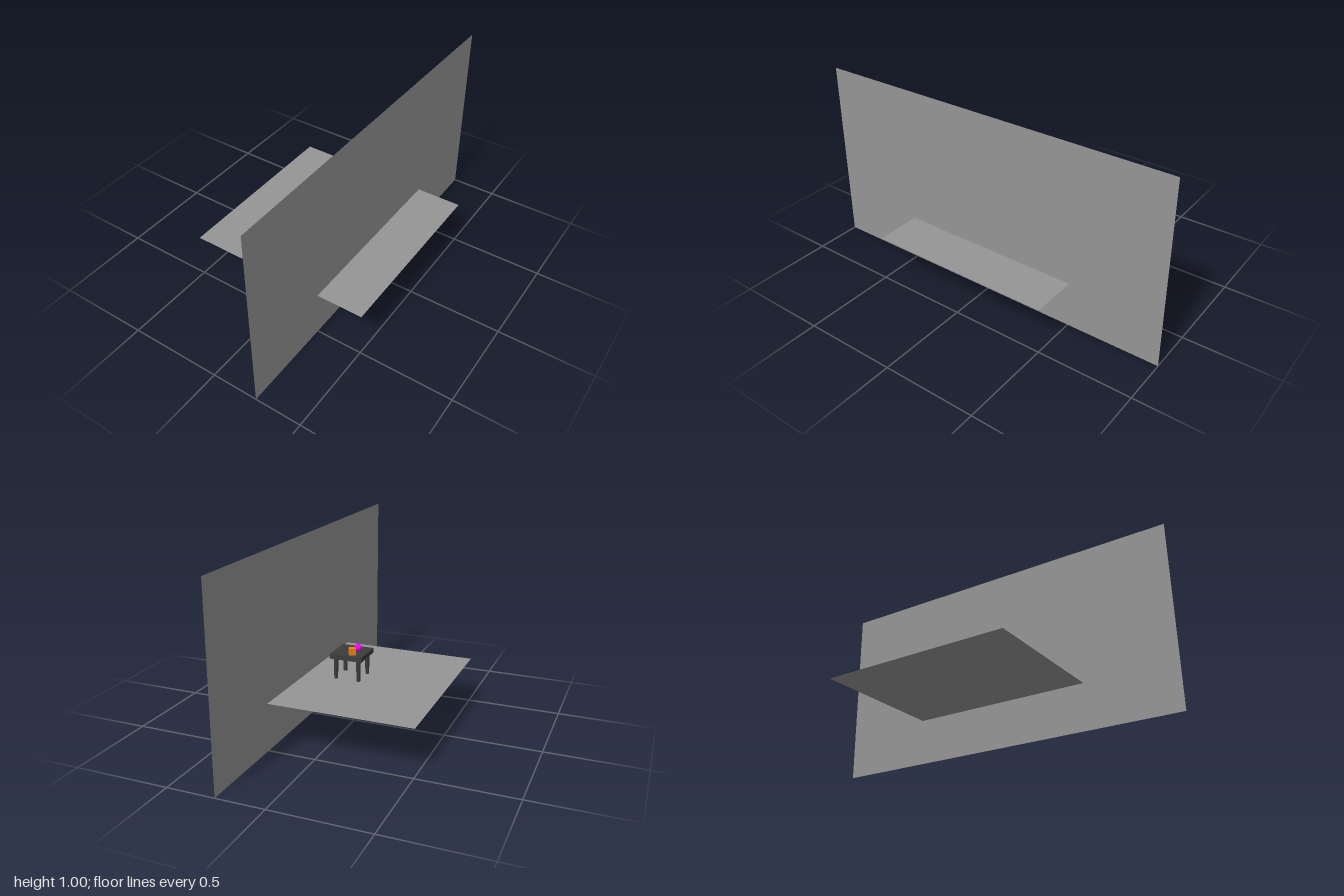
import * as THREE from 'three';

const mat = (color, extra = {}) => new THREE.MeshStandardMaterial({ color, ...extra });

function addMesh(parent, name, geometry, material, x, y, z) {
  const mesh = new THREE.Mesh(geometry, material);
  mesh.name = name;
  mesh.position.set(x, y, z);
  parent.add(mesh);
  return mesh;
}

export function createModel() {
  const model = new THREE.Group();
  model.name = 'tableScene';
  const grey = mat(0x959595, { side: THREE.DoubleSide });
  const dark = mat(0x3c3c3c, { flatShading: true });

  // Thin upright wall crossing the floor
  const wall = addMesh(model, 'wall', new THREE.PlaneGeometry(2, 1), grey, 0.25, 0.5, 0);
  wall.rotation.y = Math.PI / 2;

  // Square floor sheet
  const floor = addMesh(model, 'floor', new THREE.PlaneGeometry(1, 1), grey, 0, 0.25, 0);
  floor.rotation.x = -Math.PI / 2;

  // Table: slab top on four tapered round legs
  const table = new THREE.Group();
  table.name = 'table';
  table.position.set(0.014, 0.2525, 0);
  model.add(table);
  addMesh(table, 'tableTop', new THREE.BoxGeometry(0.175, 0.025, 0.175), dark, 0, 0.125, 0);
  const legGeometry = new THREE.CylinderGeometry(0.0125, 0.01, 0.1125, 12);
  for (const x of [-1, 1]) {
    for (const z of [-1, 1]) {
      addMesh(table, 'tableLeg', legGeometry, dark, x * 0.0625, 0.05625, z * 0.0625);
    }
  }

  // Ball and turned block resting on the table
  addMesh(model, 'ball', new THREE.SphereGeometry(0.0195, 10, 8),
    mat(0xff00ff, { flatShading: true }), -0.016, 0.4095, 0.012);
  const block = addMesh(model, 'block', new THREE.BoxGeometry(0.033, 0.035, 0.033),
    mat(0xf08010), -0.009, 0.4075, -0.051);
  block.rotation.y = 0.6;

  return model;
}
